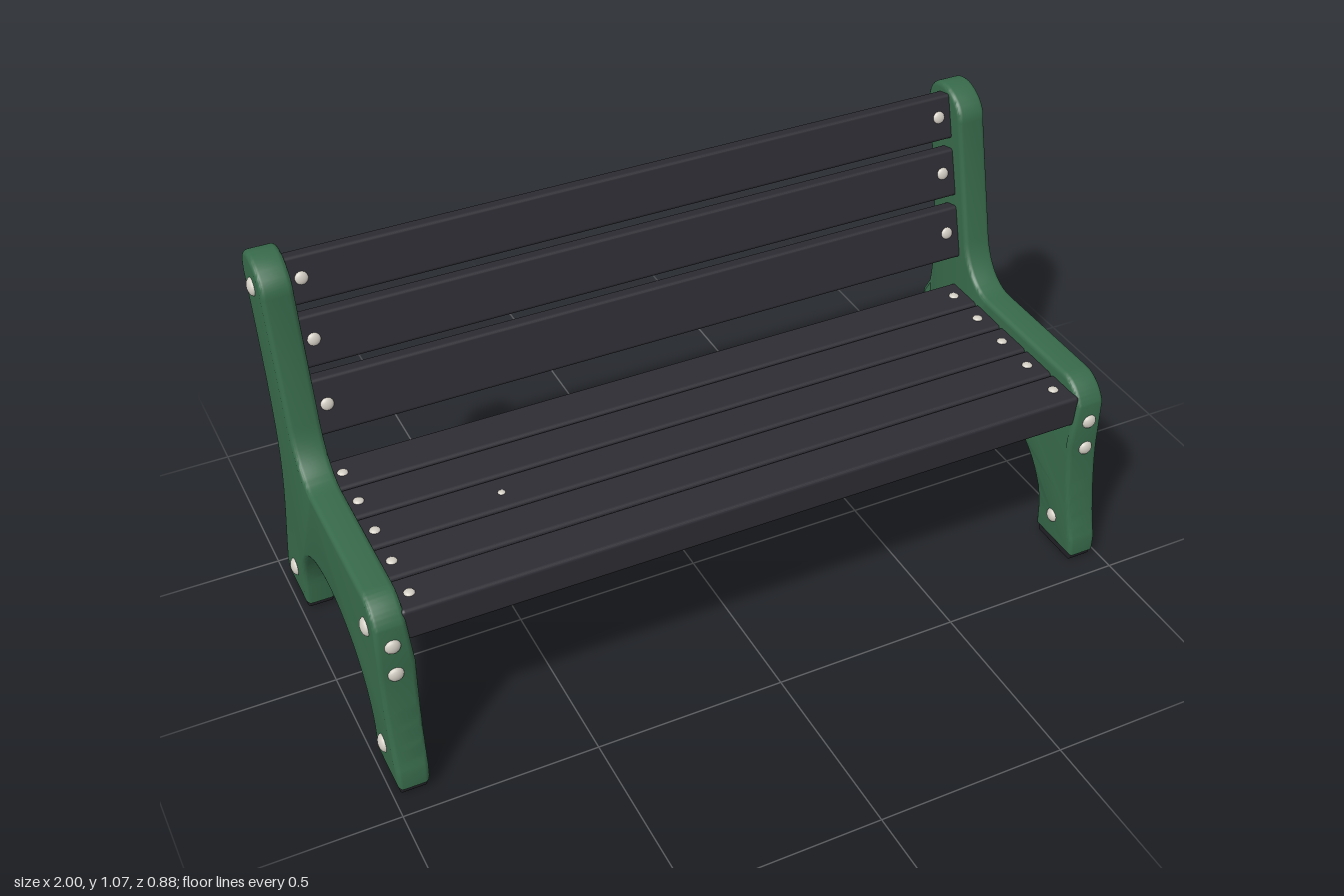
import * as THREE from 'three';
import { toCreasedNormals } from 'three/addons/utils/BufferGeometryUtils.js';
import { RoundedBoxGeometry } from 'three/addons/geometries/RoundedBoxGeometry.js';

const material = (name, color) => {
  const m = new THREE.MeshStandardMaterial({ color });
  m.name = name;
  return m;
};

export function createModel() {
  const green = material('green frame', 0x37694a);
  const dark = material('dark slat', 0x2d2c33);
  const rubber = material('black foot', 0x201f24);
  const metal = material('pale metal', 0xd2cdc3);
  const bench = new THREE.Group();
  bench.name = 'bench';

  const add = (parent, name, geometry, mat, x = 0, y = 0, z = 0) => {
    const mesh = new THREE.Mesh(geometry, mat);
    mesh.name = name;
    mesh.position.set(x, y, z);
    parent.add(mesh);
    return mesh;
  };

  // Domed bolt head, pointing along the given direction
  const dome = new THREE.SphereGeometry(1, 14, 6, 0, Math.PI * 2, 0, Math.PI / 2);
  const up = new THREE.Vector3(0, 1, 0);
  const bolt = (parent, name, r, x, y, z, dx, dy, dz, height = r * 0.55) => {
    const mesh = add(parent, name, dome, metal, x, y, z);
    mesh.scale.set(r, height, r);
    mesh.quaternion.setFromUnitVectors(up, new THREE.Vector3(dx, dy, dz).normalize());
  };

  // Side frame outline, drawn with z across and y up
  const outline = new THREE.Shape();
  outline.moveTo(0.281, 0.02);
  outline.lineTo(0.44, 0.02);
  outline.lineTo(0.44, 0.066);
  outline.bezierCurveTo(0.415, 0.14, 0.393, 0.29, 0.393, 0.36);
  outline.lineTo(0.393, 0.485);
  outline.bezierCurveTo(0.38, 0.52, 0.345, 0.548, 0.308, 0.548);
  outline.lineTo(-0.05, 0.548);
  outline.bezierCurveTo(-0.115, 0.548, -0.16, 0.6, -0.176, 0.67);
  outline.lineTo(-0.252, 0.98);
  outline.bezierCurveTo(-0.25, 1.03, -0.305, 1.065, -0.348, 1.065);
  outline.bezierCurveTo(-0.395, 1.065, -0.42, 1.03, -0.413, 0.985);
  outline.bezierCurveTo(-0.375, 0.84, -0.332, 0.66, -0.332, 0.53);
  outline.bezierCurveTo(-0.332, 0.37, -0.4, 0.22, -0.438, 0.066);
  outline.lineTo(-0.438, 0.02);
  outline.lineTo(-0.277, 0.02);
  outline.lineTo(-0.275, 0.08);
  outline.absellipse(0.003, 0.08, 0.278, 0.235, Math.PI, 0, true);

  const bevel = 0.013;
  const depth = 0.08 - 2 * bevel;
  const frameGeometry = side => {
    const g = new THREE.ExtrudeGeometry(outline, {
      depth, curveSegments: 18, bevelSize: bevel, bevelThickness: bevel,
      bevelOffset: -bevel, bevelSegments: 4,
    });
    g.translate(0, 0, -depth / 2).rotateY(-Math.PI / 2);
    // Legs thicken slightly towards the seat on the inner face
    const p = g.attributes.position;
    for (let i = 0; i < p.count; i++) {
      if (p.getX(i) * side < 0 && p.getY(i) < 0.44) {
        p.setX(i, p.getX(i) - side * 0.036 * (p.getY(i) - 0.02));
      }
    }
    return toCreasedNormals(g, 0.6);
  };

  for (const side of [1, -1]) {
    const frame = new THREE.Group();
    frame.name = side > 0 ? 'leftFrame' : 'rightFrame';
    bench.add(frame);
    add(frame, 'sidePanel', frameGeometry(side), green, side * 0.947);

    // Feet pads
    for (const z of [0.36, -0.358]) {
      add(frame, 'footPad', new RoundedBoxGeometry(0.068, 0.03, 0.144, 2, 0.006), rubber, side * 0.947, 0.015, z);
    }

    // Bolts through the panel and on its front edge
    for (const [z, y] of [[0.328, 0.457], [0.35, 0.1], [-0.345, 0.1], [-0.332, 0.985]]) {
      bolt(frame, 'panelBolt', 0.024, side * 0.986, y, z, side, 0, 0, 0.014);
      if (y < 0.2) bolt(frame, 'innerLegBolt', 0.02, side * 0.907, y, z, -side, 0, 0, 0.014);
    }
    for (const y of [0.433, 0.347]) {
      bolt(frame, 'frontBolt', 0.02, side * 0.947, y, 0.392, 0, 0, 1, 0.013);
    }
  }

  // Seat slats over a closing board
  const seat = new THREE.Group();
  seat.name = 'seat';
  bench.add(seat);
  const width = 1.83;
  for (let i = 0; i < 5; i++) {
    const z = 0.325 - i * 0.12;
    add(seat, 'seatSlat', new RoundedBoxGeometry(width, 0.088, 0.116, 2, 0.01), dark, 0, 0.47, z);
    for (const x of [-0.876, 0.872]) bolt(seat, 'seatBolt', 0.014, x, 0.513, z, 0, 1, 0);
  }
  add(seat, 'seatBoard', new THREE.BoxGeometry(width, 0.06, 0.58), dark, 0, 0.457, 0.085);
  bolt(seat, 'looseBolt', 0.01, -0.556, 0.513, 0.086, 0, 1, 0);

  // Leaning back slats
  const lean = Math.atan(0.27);
  const thick = 0.05;
  for (const [y, height] of [[0.672, 0.147], [0.835, 0.132], [0.985, 0.122]]) {
    const slat = new THREE.Group();
    slat.name = 'backrestSlat';
    slat.position.set(0, y, -0.325 - (y - 0.99) * 0.27);
    slat.rotation.x = -lean;
    bench.add(slat);
    add(slat, 'board', new RoundedBoxGeometry(width, height, thick, 2, 0.009), dark);
    for (const x of [-0.876, 0.872]) {
      bolt(slat, 'slatBolt', 0.017, x, 0.004, thick / 2 - 0.001, 0, 0, 1);
      bolt(slat, 'slatNut', 0.012, x, 0.004, 0.001 - thick / 2, 0, 0, -1);
    }
  }

  return bench;
}
